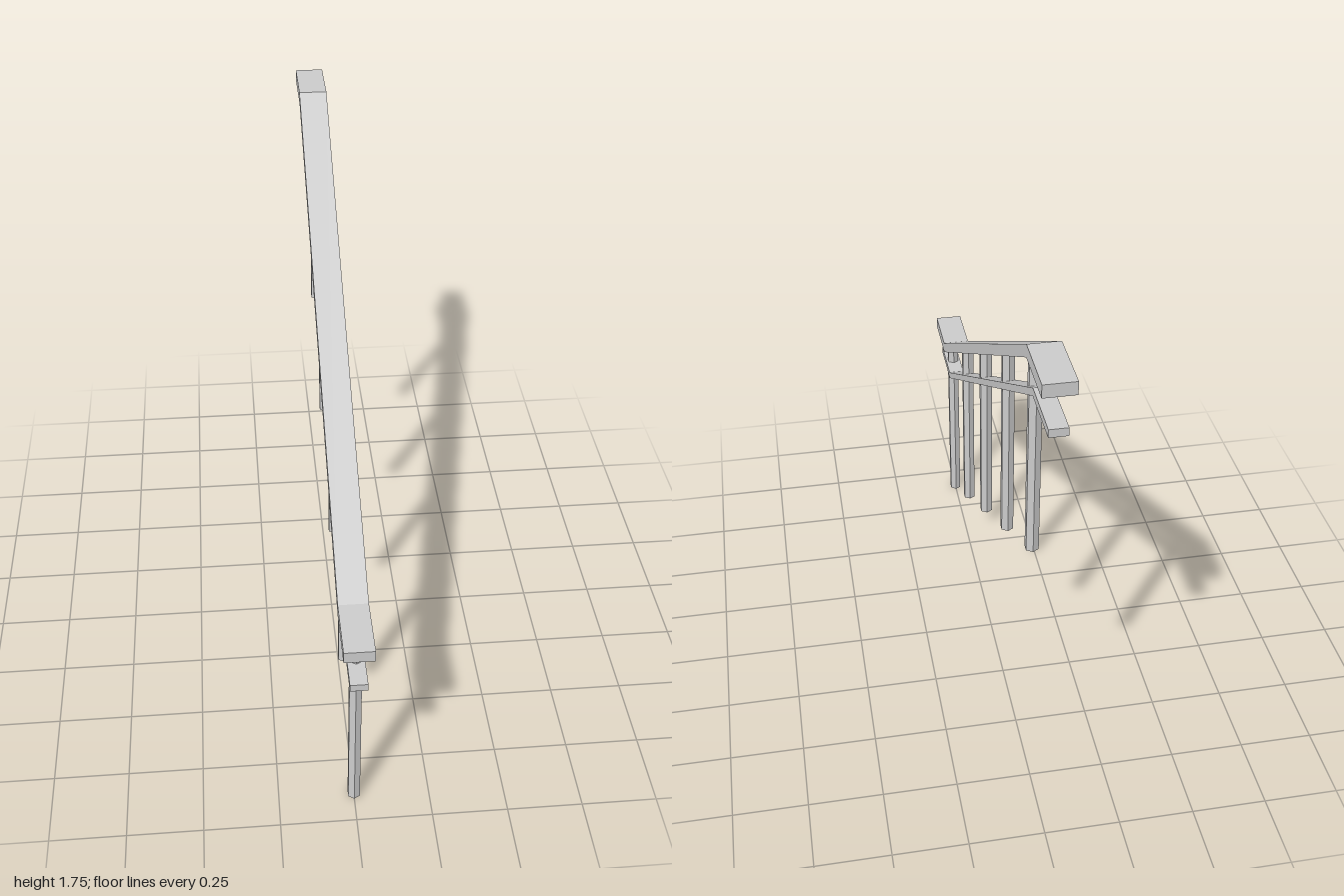
import * as THREE from 'three';

const material = new THREE.MeshStandardMaterial({ color: 0xcccccc, flatShading: true });
const SLOPE = 0.6; // rise per unit of depth on the sloped run
const rise = z => SLOPE * (0.8 - THREE.MathUtils.clamp(z, -0.8, 0.8));

// Flat bar with level ends and a sloped run, extruded across x
function rail(name, bottom, top, width) {
  const bends = [1, 0.8, -0.8, -1];
  const outline = [
    ...bends.map(z => new THREE.Vector2(-z, bottom + rise(z))),
    ...bends.slice().reverse().map(z => new THREE.Vector2(-z, top + rise(z))),
  ];
  const geometry = new THREE.ExtrudeGeometry(new THREE.Shape(outline), { depth: width, bevelEnabled: false });
  geometry.translate(0, 0, -width / 2);
  geometry.rotateY(Math.PI / 2);
  const mesh = new THREE.Mesh(geometry, material);
  mesh.name = name;
  return mesh;
}

// Six-sided upright reaching just inside the handrail
function post(z, foot) {
  const head = 0.745 + rise(z) + (z < 0.8 ? 0.015 : 0.005);
  const mesh = new THREE.Mesh(new THREE.CylinderGeometry(0.0225, 0.0225, head - foot, 6), material);
  mesh.position.set(0, (head + foot) / 2, z);
  mesh.name = 'post';
  return mesh;
}

export function createModel() {
  const group = new THREE.Group();
  group.name = 'stairRailing';
  group.add(rail('handrail', 0.745, 0.786, 0.096));
  group.add(rail('lowerRail', 0.62, 0.646, 0.056));

  // Posts step up with the stairs
  const posts = new THREE.Group();
  posts.name = 'posts';
  [[0.893, 0], [0.505, 0.243], [0.108, 0.482], [-0.3, 0.722], [-0.7, 0.962]]
    .forEach(([z, foot]) => posts.add(post(z, foot)));
  group.add(posts);
  return group;
}
